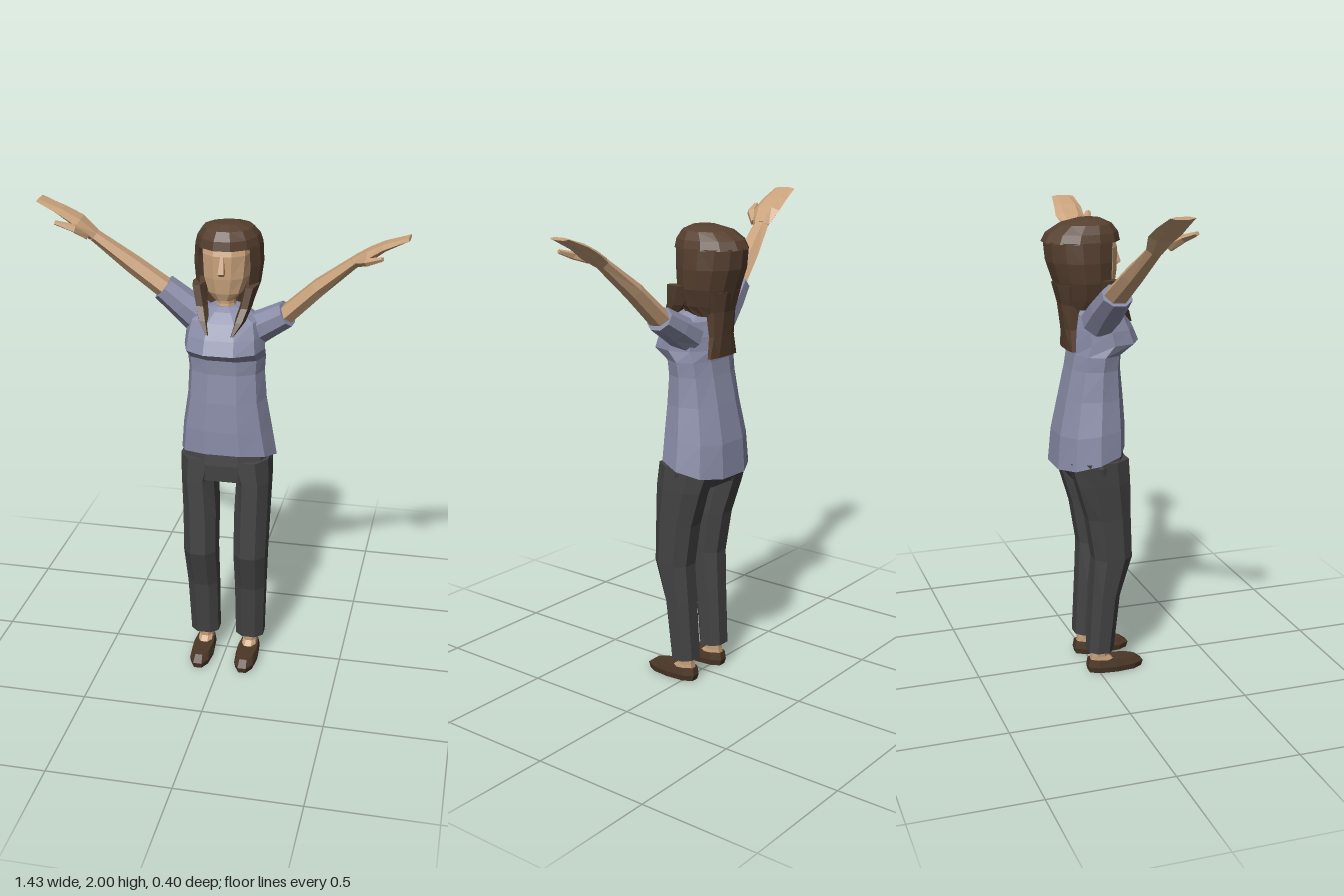
import * as THREE from 'three';

const mat = (color, side = THREE.FrontSide) =>
  new THREE.MeshStandardMaterial({ color, flatShading: true, side });
const SKIN = mat(0xc9a27c), SHIRT = mat(0x8a8da8), TROUSERS = mat(0x444444);
const HAIR = mat(0x574030, THREE.DoubleSide), SHOE = mat(0x4b3727);

// Skin a row of equal-length rings; closed rings get caps and outward faces.
function loft(rings, open = false) {
  const n = rings[0].length, pts = rings.flat(), idx = [];
  for (let r = 0; r < rings.length - 1; r++) {
    for (let i = 0; i < (open ? n - 1 : n); i++) {
      const a = r * n + i, b = r * n + (i + 1) % n;
      idx.push(a, b, b + n, a, b + n, a + n);
    }
  }
  if (!open) {
    const last = (rings.length - 1) * n;
    for (let i = 1; i < n - 1; i++) idx.push(0, i + 1, i, last, last + i, last + i + 1);
    let volume = 0;
    for (let i = 0; i < idx.length; i += 3) {
      volume += pts[idx[i]].dot(pts[idx[i + 1]].clone().cross(pts[idx[i + 2]]));
    }
    if (volume < 0) idx.reverse();
  }
  const geo = new THREE.BufferGeometry().setFromPoints(pts);
  geo.setIndex(idx);
  geo.computeVertexNormals();
  return geo;
}

// Horizontal ring: height, half width, front z, back z, centre x, drop at the back.
function ring([y, hx, zf, zb, cx = 0, drop = 0], n = 10, power = 0.85) {
  const soft = v => Math.sign(v) * Math.abs(v) ** power;
  return Array.from({ length: n }, (_, i) => {
    const a = (i + 0.5) / n * Math.PI * 2, c = soft(Math.cos(a) / Math.cos(Math.PI / n));
    return new THREE.Vector3(cx + hx * soft(Math.sin(a)), y - drop * (1 - c) / 2,
      (zf + zb) / 2 + (zf - zb) / 2 * c);
  });
}
const stack = (rows, n, power) => loft(rows.map(r => ring(r, n, power)));

// Limb along a path of [x, y, z, half width in z, half thickness].
function limb(rows, n = 6) {
  const p = rows.map(r => new THREE.Vector3(r[0], r[1], r[2]));
  return loft(rows.map((r, i) => {
    const dir = p[Math.min(i + 1, p.length - 1)].clone().sub(p[Math.max(i - 1, 0)]).normalize();
    const side = new THREE.Vector3(0, 0, 1).addScaledVector(dir, -dir.z).normalize();
    const up = dir.clone().cross(side);
    return Array.from({ length: n }, (_, k) => {
      const a = (k + 0.5) / n * Math.PI * 2;
      return p[i].clone().addScaledVector(side, r[3] * Math.sin(a) * 1.1)
        .addScaledVector(up, r[4] * Math.cos(a) * 1.1);
    });
  }));
}

export function createModel() {
  const model = new THREE.Group();
  const add = (name, geo, material, parent = model) => {
    const mesh = new THREE.Mesh(geo, material);
    mesh.name = name;
    parent.add(mesh);
    return mesh;
  };

  // Shirt with a hem that dips at the back
  add('shirt', stack([
    [0.98, 0.2, 0.12, -0.165, 0.005, 0.07], [1.08, 0.185, 0.12, -0.155, 0, 0.03],
    [1.2, 0.163, 0.113, -0.125], [1.32, 0.155, 0.102, -0.1], [1.38, 0.16, 0.105, -0.09],
    [1.425, 0.163, 0.178, -0.088], [1.48, 0.158, 0.155, -0.085], [1.54, 0.145, 0.125, -0.075],
    [1.575, 0.085, 0.085, -0.055], [1.59, 0.055, 0.06, -0.035],
  ]), SHIRT);

  // Trousers
  add('trouserSeat', stack([
    [1.0, 0.18, 0.11, -0.14], [0.93, 0.188, 0.118, -0.14], [0.86, 0.175, 0.115, -0.1],
  ]), TROUSERS);

  for (const s of [-1, 1]) {
    const side = s > 0 ? 'left' : 'right', shift = 0.008;
    const leg = new THREE.Group();
    leg.name = side + 'Leg';
    model.add(leg);
    add('trouserLeg', stack([
      [0.95, 0.09, 0.115, -0.13, s * 0.098], [0.85, 0.072, 0.12, -0.1, s * 0.115 + shift / 2],
      [0.7, 0.074, 0.127, -0.055, s * 0.108 + shift], [0.52, 0.072, 0.135, -0.026, s * 0.106 + shift],
      [0.35, 0.068, 0.085, -0.034, s * 0.102 + shift], [0.1, 0.063, 0.06, -0.047, s * 0.098 + shift],
    ], 8), TROUSERS, leg);
    const fx = s * 0.097 + shift;
    add('ankle', stack([
      [0.13, 0.032, 0.04, -0.025, fx], [0.07, 0.03, 0.04, -0.03, fx], [0.03, 0.035, 0.09, -0.035, fx],
    ], 8), SKIN, leg);
    add('shoe', stack([
      [0, 0.044, 0.19, -0.04, fx], [0.025, 0.049, 0.197, -0.047, fx],
      [0.05, 0.042, 0.165, -0.042, fx, -0.01], [0.052, 0.03, 0.1, -0.03, fx],
    ], 10), SHOE, leg);

    // Arms raised, the right one a little higher
    const arm = new THREE.Group();
    arm.name = side + 'Arm';
    model.add(arm);
    const [shoulder, cuff, elbow, wrist, palm, knuckle, tip] = s > 0
      ? [[0.09, 1.475], [0.245, 1.568], [0.37, 1.69], [0.51, 1.81], [0.565, 1.845], [0.62, 1.88], [0.71, 1.917]]
      : [[-0.1, 1.515], [-0.25, 1.645], [-0.37, 1.74], [-0.51, 1.855], [-0.565, 1.91], [-0.63, 1.95], [-0.718, 1.993]];
    add('sleeve', limb([[...shoulder, 0, 0.07, 0.065],
      [(shoulder[0] + cuff[0]) / 2, (shoulder[1] + cuff[1]) / 2, 0.01, 0.068, 0.055],
      [...cuff, 0.022, 0.06, 0.048]], 8), SHIRT, arm);
    add('forearm', limb([[...cuff, 0.022, 0.05, 0.036], [...elbow, 0.045, 0.044, 0.032],
      [...wrist, 0.078, 0.034, 0.02]], 6), SKIN, arm);
    add('hand', limb([[...wrist, 0.078, 0.036, 0.021], [...palm, 0.088, 0.058, 0.02],
      [...knuckle, 0.094, 0.055, 0.014], [...tip, 0.098, 0.045, 0.006]], 6), SKIN, arm);
    add('thumb', limb([[wrist[0] + s * 0.02, wrist[1] + 0.01, 0.12, 0.022, 0.014],
      [palm[0], palm[1] - 0.01, 0.165, 0.02, 0.014],
      [knuckle[0], knuckle[1] - 0.025, 0.188, 0.01, 0.008]], 5), SKIN, arm);

    // Lock of hair falling over the shoulder
    add(side + 'FrontLock', stack([
      [1.68, 0.026, 0.085, -0.04, s * 0.105], [1.6, 0.024, 0.1, 0.02, s * 0.088],
      [1.55, 0.022, 0.13, 0.07, s * 0.072], [1.5, 0.006, 0.152, 0.135, s * 0.05],
    ], 6), HAIR);
  }

  // Neck, head and nose
  add('neck', stack([[1.54, 0.05, 0.06, -0.035], [1.6, 0.037, 0.05, -0.03], [1.68, 0.04, 0.055, -0.03]], 8), SKIN);
  add('head', stack([
    [1.62, 0.04, 0.078, 0], [1.65, 0.07, 0.088, -0.03], [1.71, 0.092, 0.094, -0.08],
    [1.8, 0.1, 0.094, -0.12], [1.86, 0.09, 0.075, -0.12],
  ]), SKIN);
  add('nose', stack([
    [1.725, 0.014, 0.105, 0.07], [1.737, 0.017, 0.119, 0.07], [1.805, 0.009, 0.097, 0.07],
  ], 4, 1), SKIN);

  // Hair: crown with fringe, curtain around the face, tail down the back
  add('crown', stack([
    [1.912, 0.05, 0.035, -0.055], [1.893, 0.1, 0.075, -0.13], [1.86, 0.122, 0.1, -0.182],
    [1.825, 0.132, 0.107, -0.2],
  ], 12, 1), HAIR);
  const curtain = [
    [1.83, 0.132, 0.105, -0.2, 0.85], [1.75, 0.137, 0.1, -0.19, 0.85],
    [1.67, 0.128, 0.095, -0.162, 0.85], [1.6, 0.105, 0.09, -0.14, 0.95], [1.56, 0.085, 0.08, -0.13, 1.2],
  ].map(([y, hx, zf, zb, gap]) => Array.from({ length: 11 }, (_, i) => {
    const a = gap + (Math.PI * 2 - gap * 2) * i / 10;
    return new THREE.Vector3(hx * Math.sin(a), y, (zf + zb) / 2 + (zf - zb) / 2 * Math.cos(a));
  }));
  add('hairCurtain', loft(curtain, true), HAIR);
  add('hairTail', stack([
    [1.66, 0.1, -0.03, -0.155], [1.58, 0.075, -0.05, -0.135],
    [1.48, 0.07, -0.07, -0.122], [1.395, 0.092, -0.085, -0.115],
  ], 8), HAIR);

  return model;
}
